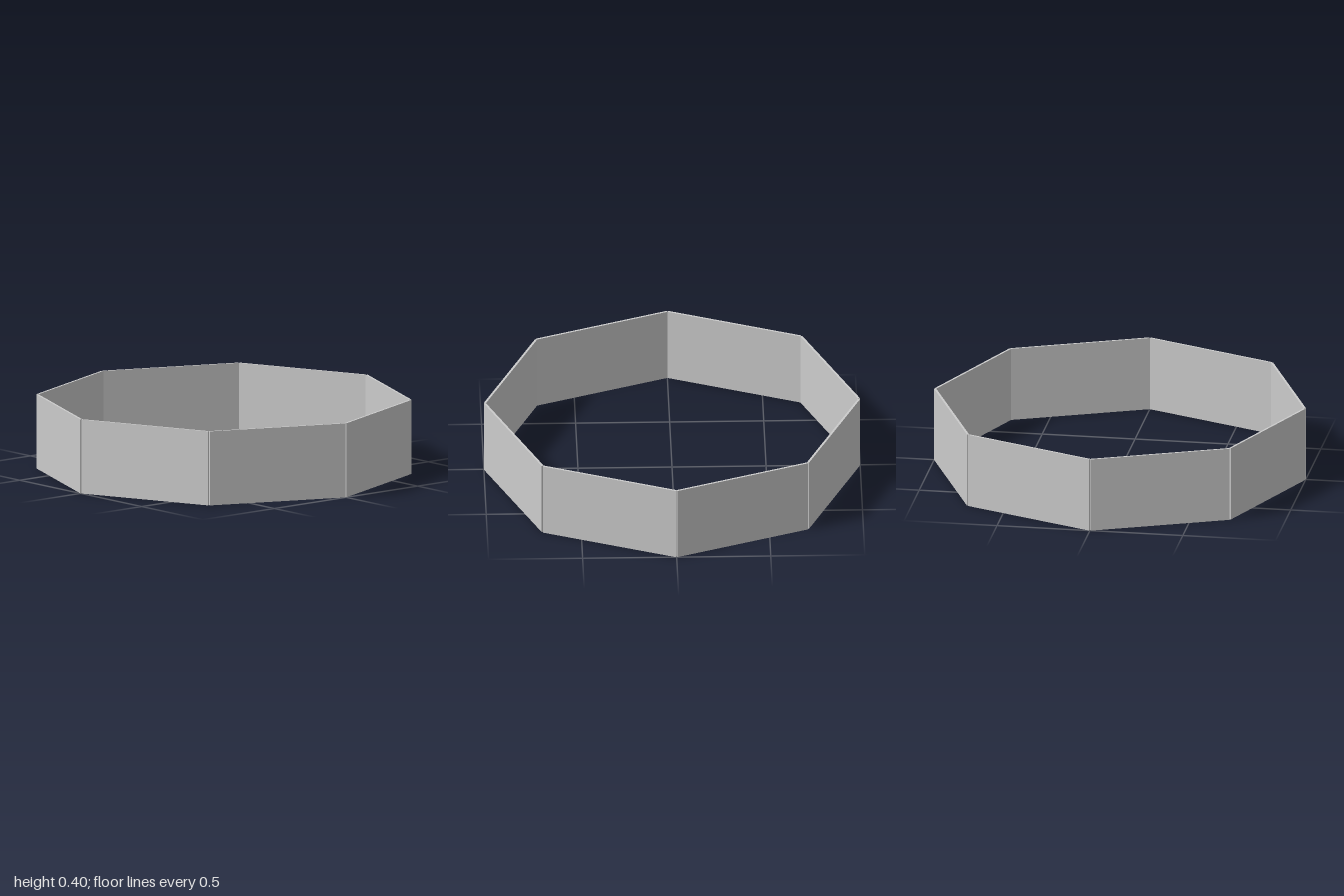
import * as THREE from 'three';

const SIDES = 8;
const HEIGHT = 0.4;
const THICKNESS = 0.012;
const HALF = Math.PI / SIDES;
// Inner corner radius, chosen so the outer corners reach 1
const INNER = 1 - THICKNESS * Math.cos(HALF);

export function createModel() {
  const group = new THREE.Group();
  group.name = 'octagonalRing';
  const material = new THREE.MeshStandardMaterial({ color: 0xcccccc, flatShading: true });

  // Flat wall panels whose inner edges meet at the corners
  const panel = new THREE.BoxGeometry(2 * INNER * Math.sin(HALF), HEIGHT, THICKNESS);
  const distance = INNER * Math.cos(HALF) + THICKNESS / 2;
  for (let i = 0; i < SIDES; i++) {
    const angle = (2 * i + 1) * HALF;
    const wall = new THREE.Mesh(panel, material);
    wall.name = `wallPanel${i + 1}`;
    wall.position.set(Math.sin(angle) * distance, HEIGHT / 2, Math.cos(angle) * distance);
    wall.rotation.y = angle;
    group.add(wall);
  }
  return group;
}
